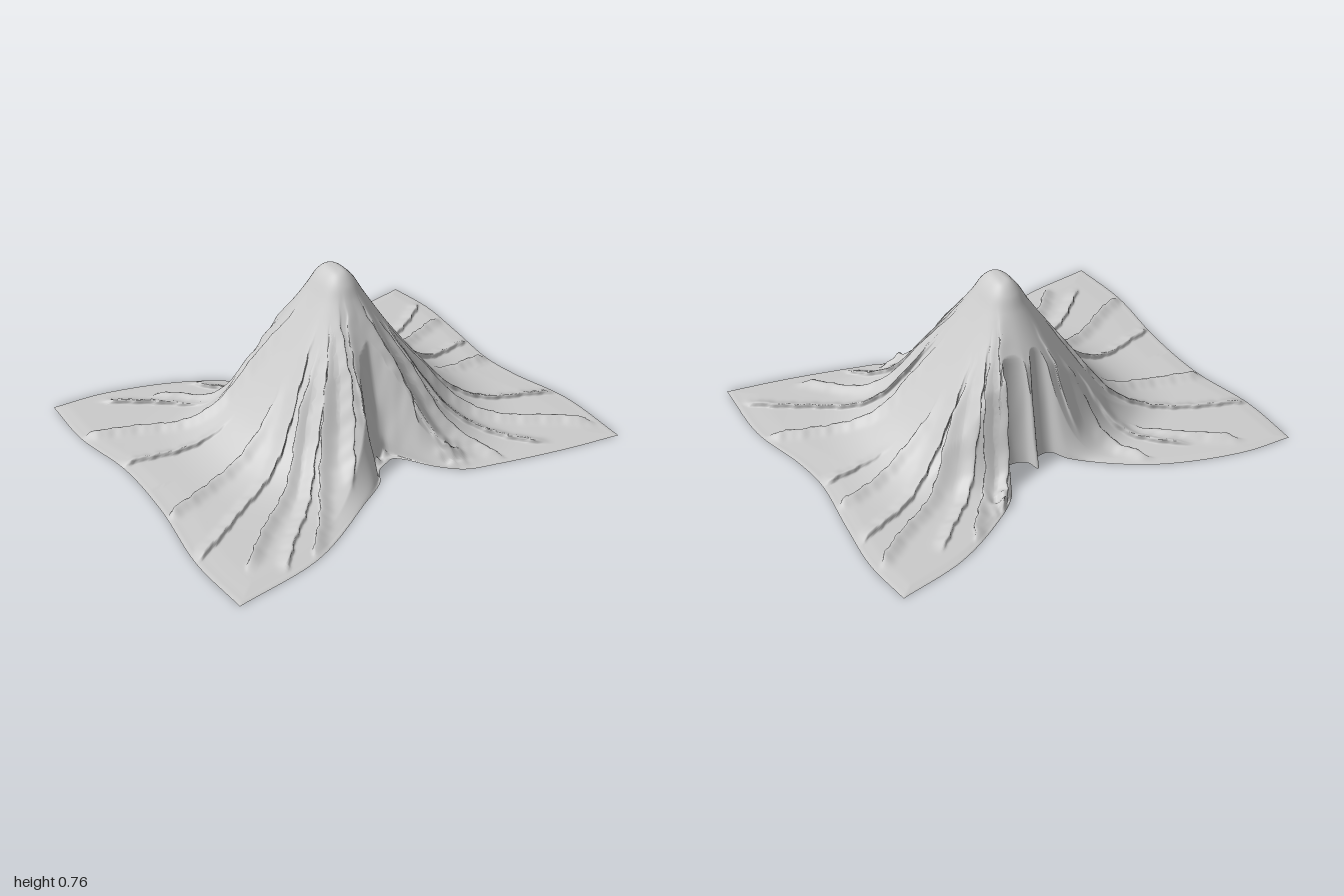
import * as THREE from 'three';

const PEAK = { x: 0.035, z: -0.05 };
const RINGS = 84, PER_SIDE = 180;
const { smoothstep, clamp } = THREE.MathUtils;

// Hem of the cloth on the floor: four sides meeting at sharp corners, as [x, z]
const SIDES = [
  // back, gathered in the middle
  [[-0.99, -0.785], [-0.745, -0.765], [-0.375, -0.64], [-0.09, -0.43], [-0.04, -0.35], [0.02, -0.35],
    [0.06, -0.42], [0.08, -0.36], [0.16, -0.34], [0.25, -0.52], [0.4, -0.64], [0.62, -0.755], [0.905, -0.82]],
  // left
  [[0.905, -0.82], [0.935, -0.59], [0.92, -0.35], [0.895, -0.05], [0.92, 0.13], [0.99, 0.4], [0.99, 0.755]],
  // front, gathered in the middle
  [[0.99, 0.755], [0.73, 0.71], [0.42, 0.635], [0.28, 0.59], [0.18, 0.5], [0.1, 0.39], [0.06, 0.36],
    [0.03, 0.37], [-0.03, 0.4], [-0.075, 0.47], [-0.21, 0.555], [-0.55, 0.745], [-0.95, 0.815]],
  // right
  [[-0.95, 0.815], [-0.97, 0.51], [-0.93, 0.14], [-0.93, -0.19], [-0.99, -0.5], [-0.99, -0.785]],
];

// Height of the draped slope against distance from the supporting top
const SLOPE = [[0, 0.755], [0.035, 0.748], [0.07, 0.71], [0.1, 0.655], [0.17, 0.54], [0.27, 0.385], [0.37, 0.24],
  [0.47, 0.12], [0.57, 0.05], [0.67, 0.018], [0.8, 0.008], [2, 0.008]];

// Folds running outward from the peak: outer end x, z, then start radius
const FOLDS = [
  [-0.13, -0.4, 0.15], [-0.38, -0.6, 0.25], [-0.58, -0.61, 0.3], [-0.78, -0.7, 0.5], [-0.98, -0.5, 0.1], [-0.95, -0.22, 0.45],
  [0.22, -0.42, 0.1], [0.32, -0.58, 0.15], [0.5, -0.68, 0.15], [0.65, -0.66, 0.15], [0.9, -0.62, 0.2], [0.9, -0.46, 0.2],
  [0.9, -0.22, 0.3], [0.9, -0.05, 0.5],
  [0.96, 0.35, 0.2], [0.95, 0.62, 0.2], [0.68, 0.63, 0.15], [0.45, 0.62, 0.15], [0.28, 0.55, 0.1], [0.15, 0.4, 0.1],
  [-0.95, 0.2, 0.3], [-0.97, 0.5, 0.15], [-0.82, 0.65, 0.2], [-0.7, 0.73, 0.15], [-0.55, 0.73, 0.15], [-0.22, 0.48, 0.1],
  [-0.06, 0.4, 0.1],
].map(([x, z, start]) => {
  const dx = x - PEAK.x, dz = z - PEAK.z, end = Math.hypot(dx, dz);
  return { dx: dx / end, dz: dz / end, start, end };
});

// Small heaps of crumpled cloth near the hem: x, z, radius
const CRUMPLES = [[0.02, 0.33, 0.08], [0.05, -0.37, 0.05], [0.3, -0.55, 0.05], [0.26, 0.52, 0.05]];

// Smooth curve through the slope points
function slopeHeight(d) {
  let i = 0;
  while (i < SLOPE.length - 2 && SLOPE[i + 1][0] < d) i++;
  const tangent = (k) => {
    const [d0, h0] = SLOPE[Math.max(k - 1, 0)], [d1, h1] = SLOPE[Math.min(k + 1, SLOPE.length - 1)];
    return k === 0 ? 0 : (h1 - h0) / (d1 - d0);
  };
  const [d0, h0] = SLOPE[i], [d1, h1] = SLOPE[i + 1];
  const span = d1 - d0, t = clamp((d - d0) / span, 0, 1), s = 1 - t;
  return h0 * (1 + 2 * t) * s * s + tangent(i) * span * t * s * s + h1 * t * t * (3 - 2 * t) - tangent(i + 1) * span * t * t * s;
}

// Tallest creased ridge at a point, with the sideways lean that folds it over its steep flank
function foldAt(x, z, slope) {
  const px = x - PEAK.x, pz = z - PEAK.z;
  const best = { lift: 0, leanX: 0, leanZ: 0 };
  FOLDS.forEach((f, i) => {
    const along = px * f.dx + pz * f.dz;
    if (along < f.start) return;
    const side = i % 2 ? 1 : -1;
    const wobble = 0.006 * Math.sin(along * 14 + i * 2.1) + 0.003 * Math.sin(along * 62 + i) + 0.002 * Math.sin(along * 125 + i * 3);
    const across = (px * f.dz - pz * f.dx) * side - wobble;
    if (Math.abs(across) > 0.1) return;
    const width = across > 0 ? 0.01 : 0.026;
    const reach = smoothstep(along, f.start, f.start + 0.25) * (1 - smoothstep(along, f.end - 0.06, f.end + 0.03));
    const lift = reach * (0.022 + 0.08 * Math.min(slope, 0.25)) * Math.exp(-((across / width) ** 2));
    if (lift > best.lift) Object.assign(best, { lift, leanX: f.dz * side * lift * 0.6, leanZ: -f.dx * side * lift * 0.6 });
  });
  return best;
}

function crumpleAt(x, z) {
  let sum = 0;
  for (const [cx, cz, radius] of CRUMPLES) {
    const near = Math.exp(-((x - cx) ** 2 + (z - cz) ** 2) / radius ** 2);
    sum += near * 0.012 * (1 + Math.sin(x * 130 + z * 25) + Math.sin(z * 110 - x * 40));
  }
  return sum;
}

function clothPoint(x, z, toHem) {
  // Rounded top is stretched along z; the back falls more steeply
  const away = Math.abs(z - PEAK.z);
  let dz = away * away / (away + 0.05);
  if (z < PEAK.z) dz += Math.max(0, dz - 0.22) * 1.3;
  const base = slopeHeight(Math.hypot(x - PEAK.x, dz));
  // The wall comes down to the floor at the gathers, leaving a short skirt in front
  const skirt = z > 0 ? 0.05 * Math.exp(-((x - 0.02) ** 2) / 0.01) : 0;
  const hang = Math.pow(clamp((toHem - skirt) / (z < 0 ? 0.07 : 0.13), 0, 1), 0.7);
  const fold = foldAt(x, z, base * hang);
  const fade = Math.min(1, toHem / 0.04);
  const rise = base * hang + (fold.lift + crumpleAt(x, z)) * fade;
  return [x + fold.leanX * fade, Math.max(0.003, rise), z + fold.leanZ * fade];
}

function clothGeometry() {
  const hem = [];
  for (const side of SIDES) {
    const curve = new THREE.CatmullRomCurve3(side.map(([x, z]) => new THREE.Vector3(x, 0, z)), false, 'centripetal');
    for (let i = 0; i < PER_SIDE; i++) hem.push(curve.getPointAt(i / PER_SIDE));
  }
  const n = hem.length;
  const positions = [PEAK.x, SLOPE[0][1], PEAK.z], index = [];
  for (let r = 1; r <= RINGS; r++) {
    const t = r / RINGS;
    for (const p of hem) {
      const x = PEAK.x + (p.x - PEAK.x) * t, z = PEAK.z + (p.z - PEAK.z) * t;
      const toHem = (1 - t) * Math.hypot(p.x - PEAK.x, p.z - PEAK.z);
      positions.push(...(r === RINGS ? [x, 0, z] : clothPoint(x, z, toHem)));
    }
  }
  for (let i = 0; i < n; i++) {
    const j = (i + 1) % n;
    index.push(0, 1 + j, 1 + i);
    for (let r = 0; r < RINGS - 1; r++) {
      const a = 1 + r * n + i, b = 1 + r * n + j;
      index.push(a, b, a + n, b, b + n, a + n);
    }
  }
  const geometry = new THREE.BufferGeometry();
  geometry.setAttribute('position', new THREE.Float32BufferAttribute(positions, 3));
  geometry.setIndex(index);
  geometry.computeVertexNormals();
  return geometry;
}

export function createModel() {
  const group = new THREE.Group();
  group.name = 'drapedCloth';
  const cloth = new THREE.Mesh(clothGeometry(),
    new THREE.MeshStandardMaterial({ color: 0xcccccc, side: THREE.DoubleSide }));
  cloth.name = 'cloth';
  group.add(cloth);
  return group;
}
